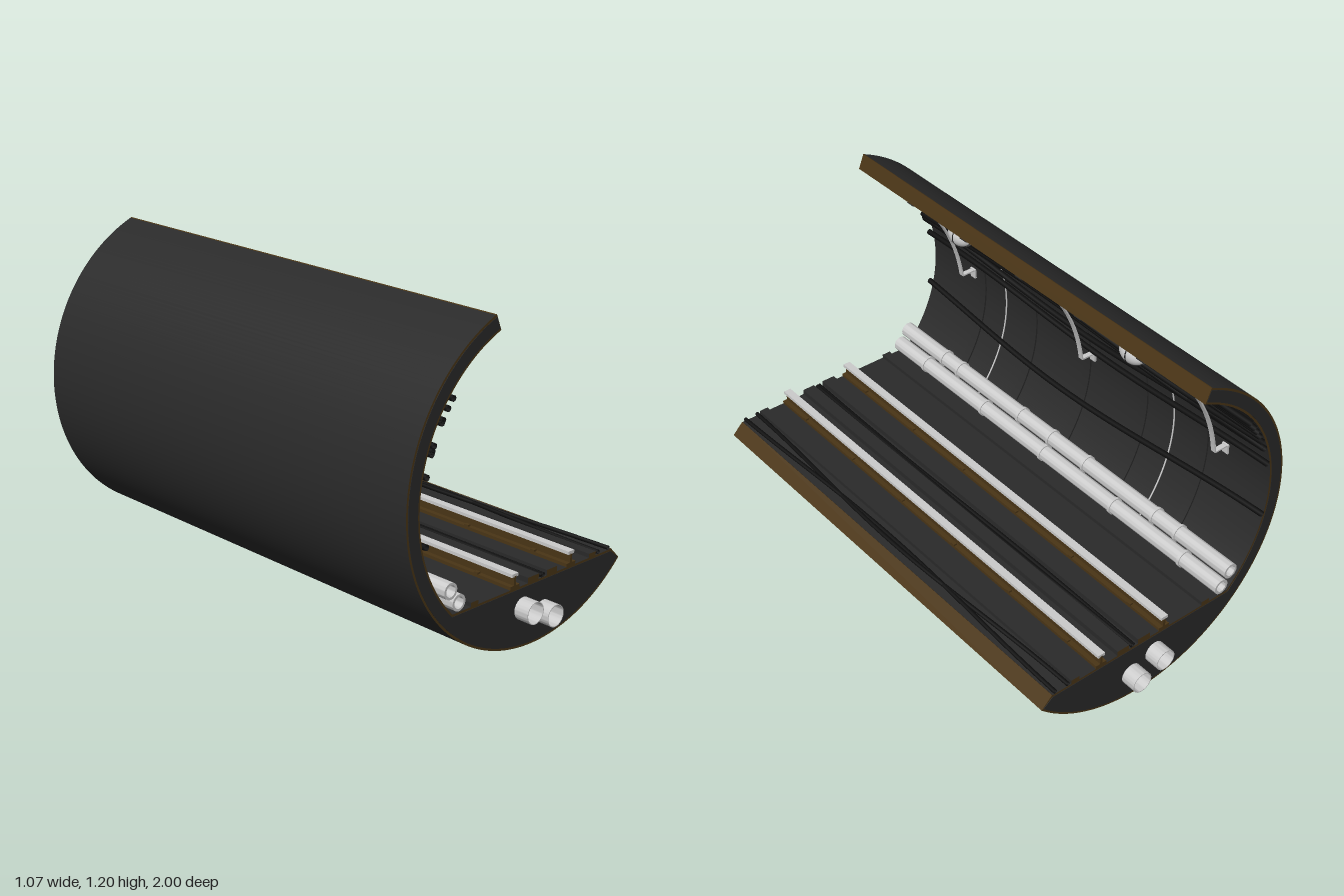
import * as THREE from 'three';
import { toCreasedNormals } from 'three/addons/utils/BufferGeometryUtils.js';

const CX = 0.09, CY = 0.625, R = 0.625, RI = 0.565, LEN = 1.88, FLOOR = 0.23;
const A_TOP = 1.958, A_END = 5.503;

const mat = (color) => new THREE.MeshStandardMaterial({ color, side: THREE.DoubleSide });
const grey = mat(0xcccccc), dark = mat(0x2a2a2a), black = mat(0x0e0e0e), brown = mat(0x4a3516);

const onRing = (r, a) => [CX + r * Math.cos(a), CY + r * Math.sin(a)];
const angleAt = (y, r) => Math.PI - Math.asin((y - CY) / r);

export function createModel() {
  const root = new THREE.Group();

  function add(name, geometry, material, x = 0, y = 0, z = 0, parent = root) {
    const m = new THREE.Mesh(geometry, material);
    m.name = name;
    m.position.set(x, y, z);
    parent.add(m);
    return m;
  }
  const box = (name, w, h, d, material, x, y, z) =>
    add(name, new THREE.BoxGeometry(w, h, d), material, x, y, z);

  // extrusion along z, centred on z = 0
  function extrude(shape, depth, segments = 24) {
    const g = new THREE.ExtrudeGeometry(shape, { depth, bevelEnabled: false, curveSegments: segments });
    g.translate(0, 0, -depth / 2);
    return toCreasedNormals(g, 0.5);
  }

  // flat bar between two points of the cross-section
  function bar(name, a, b, thick, width, z, material) {
    const dx = b[0] - a[0], dy = b[1] - a[1];
    const m = box(name, Math.hypot(dx, dy), thick, width, material, (a[0] + b[0]) / 2, (a[1] + b[1]) / 2, z);
    m.rotation.z = Math.atan2(dy, dx);
  }

  function ring(r, ri) {
    const s = new THREE.Shape().absarc(0, 0, r, 0, Math.PI * 2, false);
    s.holes.push(new THREE.Path().absarc(0, 0, ri, 0, Math.PI * 2, true));
    return s;
  }

  function tube(name, points, r, material, segments = 60) {
    const curve = new THREE.CatmullRomCurve3(points);
    add(name, new THREE.TubeGeometry(curve, segments, r, 8), material);
  }

  // tunnel cross-section: curved wall and solid floor bed in one outline
  function section(inset) {
    const ri = RI + inset, fy = FLOOR - inset;
    const s = new THREE.Shape();
    s.absarc(CX, CY, R - inset, A_TOP, A_END, false);
    s.lineTo(0.49, fy);
    s.absarc(CX, CY, ri, angleAt(fy, ri), A_TOP, true);
    s.closePath();
    return s;
  }
  add('tunnelBody', extrude(section(0), LEN, 72), [brown, dark]);
  for (const s of [-1, 1]) add('endFace', extrude(section(0.008), 0.003, 72), dark, 0, 0, s * LEN / 2);

  // brown strips on the two cut edges of the shell
  bar('topEdge', onRing(RI, A_TOP), onRing(R, A_TOP), 0.005, LEN, 0, brown);
  bar('lowerEdge', [0.49, FLOOR], onRing(R, A_END), 0.005, LEN, 0, brown);

  // wall ribs
  const rib = new THREE.Shape();
  rib.absarc(CX, CY, RI + 0.003, A_TOP + 0.01, angleAt(FLOOR, RI), false);
  rib.absarc(CX, CY, RI - 0.007, angleAt(FLOOR, RI), A_TOP + 0.01, true);
  const ribGeometry = extrude(rib, 0.035, 48);
  for (let i = -2; i <= 2; i++) add('wallRib', ribGeometry, dark, 0, 0, i * 0.313);

  // pipes running through the floor bed
  const stub = extrude(ring(0.041, 0.038), 0.08);
  for (const [x, y] of [[0.028, 0.147], [0.133, 0.105]])
    for (const s of [-1, 1]) add('drainPipe', stub, grey, x, y, s * 0.96);

  // pair of service pipes with collars
  const pipe = extrude(ring(0.03, 0.021), LEN), collar = extrude(ring(0.034, 0.028), 0.012);
  const pipes = [
    [-0.325, 0.315, [0.68, 0.58, 0.2, 0.02, -0.18, -0.56, -0.68]],
    [-0.285, 0.263, [0.75, 0.38, 0.02, -0.38, -0.75]],
  ];
  for (const [x, y, collars] of pipes) {
    add('servicePipe', pipe, grey, x, y);
    for (const z of collars) add('pipeCollar', collar, grey, x, y, z);
  }

  // running rails with fastenings
  for (const x of [-0.013, 0.275]) {
    box('railFoot', 0.046, 0.012, LEN, brown, x, FLOOR + 0.006, 0);
    box('railWeb', 0.01, 0.036, LEN, brown, x, FLOOR + 0.028, 0);
    box('railHead', 0.03, 0.012, LEN, grey, x, 0.279, 0);
    for (let i = 0; i < 6; i++)
      for (const s of [-1, 1])
        box('railClip', 0.014, 0.008, 0.018, brown, x + s * 0.018, 0.245, -0.785 + i * 0.314);
  }

  // long sleepers beside the rails, brown at the ends
  for (const [x, w, h] of [[-0.21, 0.035, 0.015], [0.08, 0.055, 0.02], [0.175, 0.052, 0.02], [0.39, 0.036, 0.015]])
    box('sleeper', w, h, LEN, [dark, dark, dark, dark, brown, brown], x, FLOOR + h / 2, 0);

  // wall cables: height, sway, wave number, phase
  const wallCables = [
    [0.97, 0.006, 3, 0], [0.945, 0.008, 2.5, 1], [0.92, 0.01, 3, 2], [0.895, 0.01, 2, 0.5],
    [0.85, 0.02, 4, 0.3], [0.825, 0.022, 3.6, 0.6], [0.79, 0.028, 3.4, 4.6], [0.722, 0.02, 3.6, 5.2],
    [0.485, 0.033, 2.6, 4.4],
  ];
  for (const [h, sway, k, phase] of wallCables) {
    const pts = [], r = RI - 0.015;
    for (let i = 0; i <= 20; i++) {
      const z = 0.945 - i * 0.0945;
      const [x, y] = onRing(r, angleAt(h + sway * Math.sin(k * z + phase), r));
      pts.push(new THREE.Vector3(x, y, z));
    }
    tube('wallCable', pts, 0.011, black);
  }

  // floor cables
  for (const [x0, sway, k, phase] of [[0.127, 0.004, 4, 0], [0.137, 0.004, 3, 2], [0.44, 0.018, 3.3, 1.6], [0.46, 0.018, 3, 4.6]]) {
    const pts = [];
    for (let i = 0; i <= 20; i++) {
      const z = 0.94 - i * 0.094;
      pts.push(new THREE.Vector3(x0 + sway * Math.sin(k * z + phase), FLOOR + 0.008, z));
    }
    tube('floorCable', pts, 0.008, black);
  }

  // curved brackets holding the wall cables
  const bow = new THREE.QuadraticBezierCurve(
    new THREE.Vector2(-0.285, 0.993), new THREE.Vector2(-0.385, 0.85), new THREE.Vector2(-0.41, 0.68));
  const bowPoints = bow.getPoints(10).map((p) => [p.x, p.y]);
  const bracketPath = [[-0.345, 0.993], ...bowPoints, [-0.468, 0.68]];
  const pad = (y) => onRing(RI - 0.004, angleAt(y, RI - 0.004));
  for (const z of [0.685, -0.03, -0.73]) {
    for (let i = 1; i < bracketPath.length; i++)
      bar('cableBracket', bracketPath[i - 1], bracketPath[i], 0.006, 0.02, z, grey);
    bar('bracketPad', pad(0.645), pad(0.685), 0.008, 0.028, z, grey);
    bar('bracketPad', pad(0.99), pad(1.025), 0.008, 0.028, z, grey);
  }

  // caged wall lamps with their feed wires
  const lampAngle = 2.27;
  for (const z of [0.48, -0.47]) {
    const lamp = new THREE.Group();
    lamp.name = 'wallLamp';
    lamp.position.set(...onRing(RI, lampAngle), z);
    lamp.rotation.z = lampAngle + Math.PI / 2;
    root.add(lamp);
    add('lampBase', new THREE.CylinderGeometry(0.045, 0.045, 0.036, 32), brown, 0, 0.016, 0, lamp).scale.z = 1.5;
    add('lampGlass', new THREE.SphereGeometry(1, 32, 20), grey, 0, 0.034, 0, lamp).scale.set(0.04, 0.043, 0.062);
    const hoop = new THREE.TorusGeometry(0.043, 0.002, 6, 24, Math.PI);
    add('lampCage', hoop, dark, 0, 0.034, 0, lamp);
    const longHoop = add('lampCage', hoop, dark, 0, 0.034, 0, lamp);
    longHoop.rotation.y = Math.PI / 2;
    longHoop.scale.x = 1.46;

    const pts = [];
    for (let i = 0; i <= 16; i++) {
      const [x, y] = onRing(RI - 0.004, lampAngle + (angleAt(0.24, RI) - lampAngle) * i / 16);
      pts.push(new THREE.Vector3(x, y, z));
    }
    tube('lampWire', pts, 0.003, grey, 40);
  }

  return root;
}
